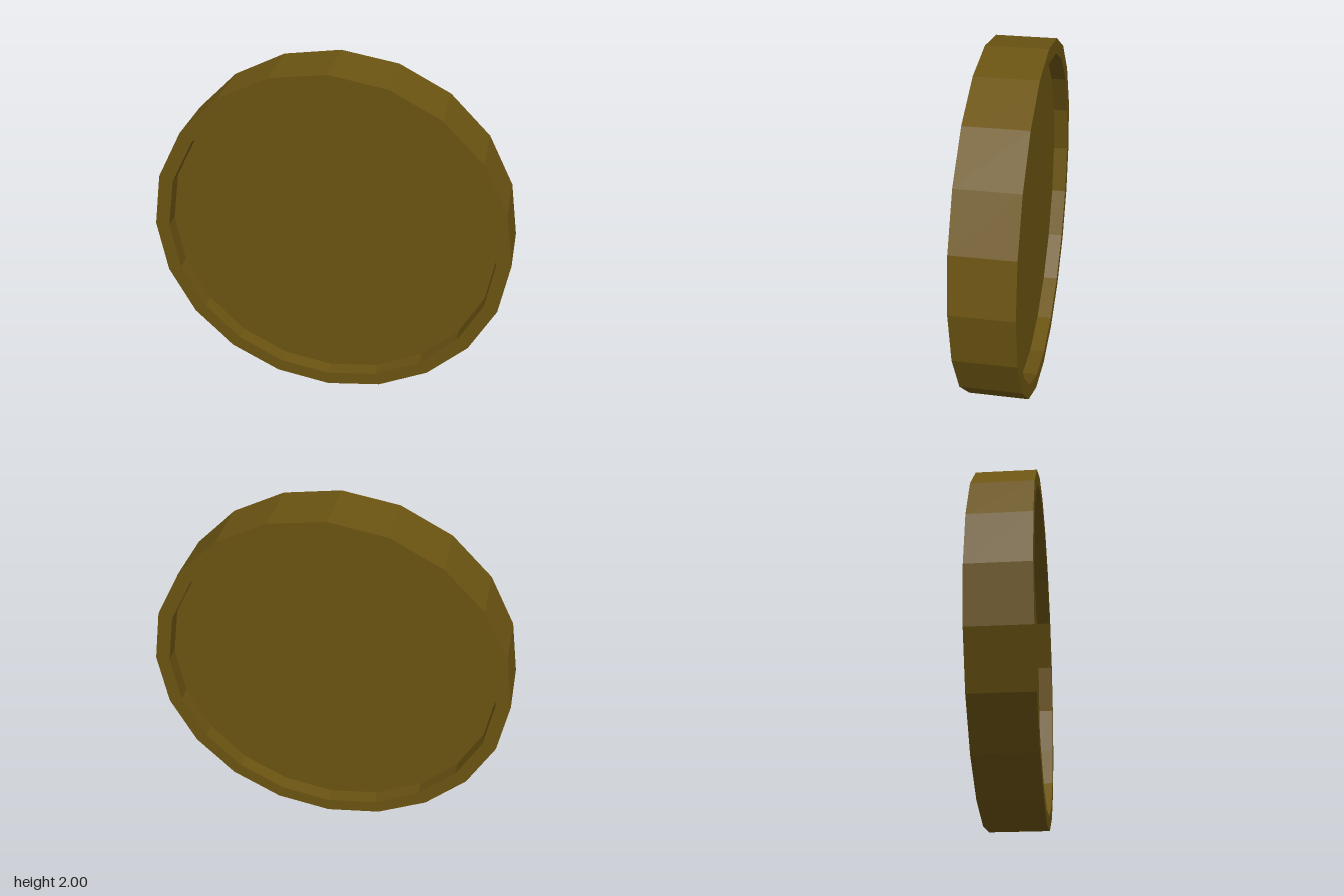
import * as THREE from 'three';

const SIDES = 20;
const OUTER = 1, INNER = 0.92;   // rim radii
const HALF = 0.167, FACE = 0.083; // half thickness of rim and of sunken faces

export function createModel() {
  const model = new THREE.Group();
  model.name = 'coin';
  const gold = new THREE.MeshStandardMaterial({ color: 0x6b5412, flatShading: true });

  // Raised rim: stepped profile turned round the coin's axis, then stood upright
  const profile = [
    [INNER, -FACE], [INNER, -HALF], [OUTER, -HALF],
    [OUTER, HALF], [INNER, HALF], [INNER, FACE],
  ].map(([r, h]) => new THREE.Vector2(r, h));
  const rim = new THREE.Mesh(new THREE.LatheGeometry(profile, SIDES).rotateX(Math.PI / 2), gold);
  rim.name = 'rim';
  rim.position.y = OUTER;
  model.add(rim);

  // Sunken faces, front and back
  for (const side of [1, -1]) {
    const face = new THREE.Mesh(new THREE.CircleGeometry(INNER, SIDES), gold);
    face.name = side > 0 ? 'frontFace' : 'backFace';
    face.position.set(0, OUTER, side * FACE);
    if (side < 0) face.rotation.y = Math.PI;
    model.add(face);
  }
  return model;
}
